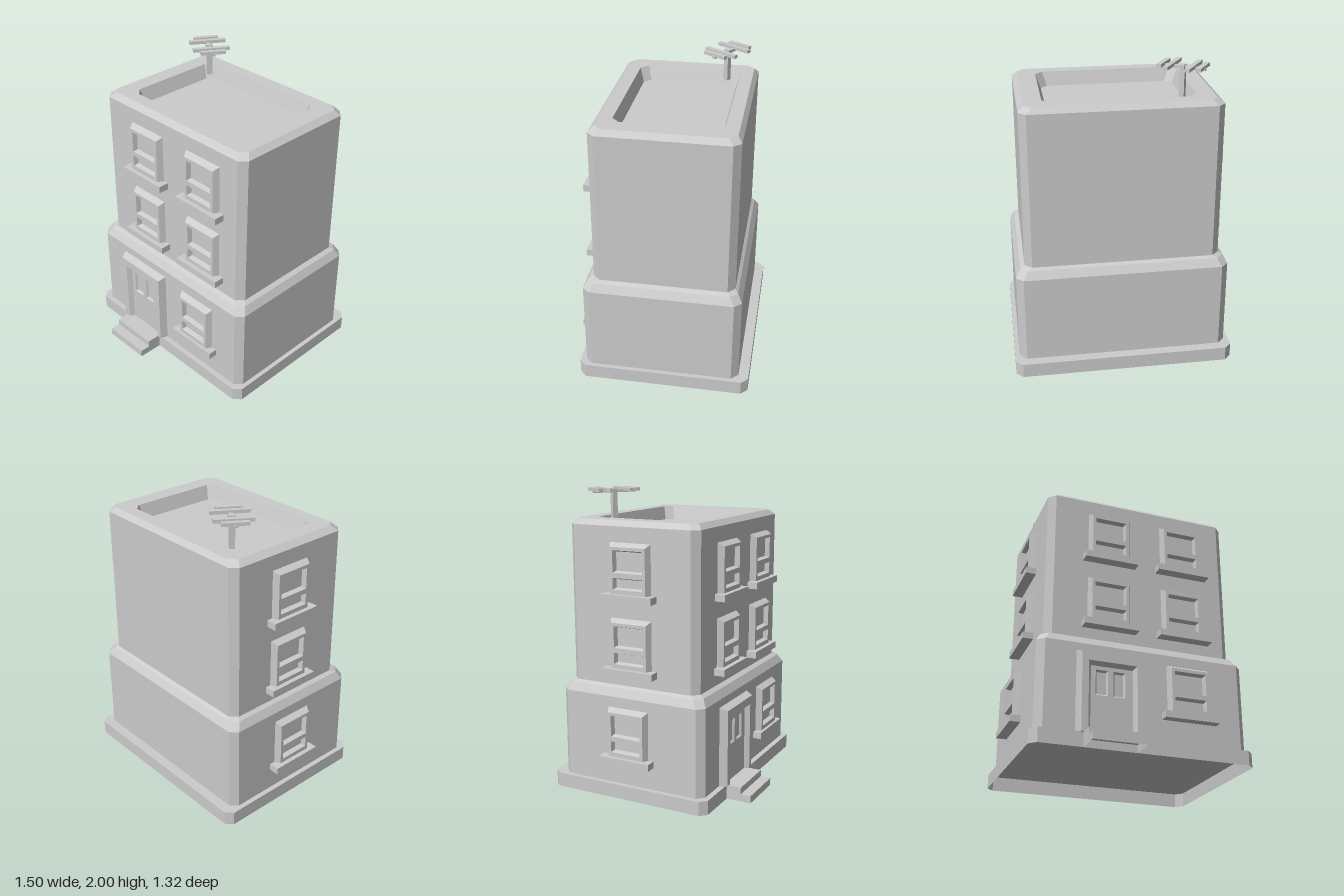
import * as THREE from 'three';

const material = new THREE.MeshStandardMaterial({ color: 0xcccccc, flatShading: true, side: THREE.DoubleSide });

function mesh(name, geometry) {
  const m = new THREE.Mesh(geometry, material);
  m.name = name;
  return m;
}

function box(name, w, h, d, x, y, z) {
  const m = mesh(name, new THREE.BoxGeometry(w, h, d));
  m.position.set(x, y, z);
  return m;
}

// Rectangle at height z with corners cut by c, counter-clockwise
function ring(x0, y0, x1, y1, z, c = 0) {
  const points = c
    ? [[x0 + c, y0], [x1 - c, y0], [x1, y0 + c], [x1, y1 - c], [x1 - c, y1], [x0 + c, y1], [x0, y1 - c], [x0, y0 + c]]
    : [[x0, y0], [x1, y0], [x1, y1], [x0, y1]];
  return points.map(([x, y]) => [x, y, z]);
}

// Floor-plan rectangle, to be laid flat by rotating about x
const plan = (x0, z0, x1, z1, y, c) => ring(x0, -z1, x1, -z0, y, c);

// Skin through successive rings, with an optional cap on the last
function loft(rings, cap = true) {
  const p = [];
  for (let r = 0; r + 1 < rings.length; r++) {
    const a = rings[r], b = rings[r + 1], n = a.length;
    for (let i = 0; i < n; i++) {
      const j = (i + 1) % n;
      p.push(...a[i], ...a[j], ...b[j], ...a[i], ...b[j], ...b[i]);
    }
  }
  const last = rings[rings.length - 1];
  if (cap) for (let i = 1; i + 1 < last.length; i++) p.push(...last[0], ...last[i], ...last[i + 1]);
  const g = new THREE.BufferGeometry();
  g.setAttribute('position', new THREE.Float32BufferAttribute(p, 3));
  g.computeVertexNormals();
  return g;
}

// Flat face at depth z with sunken rectangular panes
function panel(name, rect, z, panes, depth) {
  const group = new THREE.Group();
  group.name = name;
  const outline = (r) => ring(...r, 0).map(([x, y]) => new THREE.Vector2(x, y));
  const shape = new THREE.Shape(outline(rect));
  for (const [x0, y0, x1, y1] of panes) {
    shape.holes.push(new THREE.Path(outline([x0, y0, x1, y1])));
    const s = 0.01;
    group.add(mesh('pane', loft([
      ring(x0, y0, x1, y1, z),
      ring(x0 + s, y0 + s, x1 - s, y1 - s, z - depth),
    ])));
  }
  const face = mesh('face', new THREE.ShapeGeometry(shape));
  face.position.z = z;
  group.add(face);
  return group;
}

// Sash window with sill; the origin is on the wall at the top of the sill
function createWindow(sillDepth) {
  const group = new THREE.Group();
  group.name = 'window';
  group.add(mesh('frame', loft([
    ring(-0.147, 0, 0.147, 0.322, 0),
    ring(-0.127, 0, 0.127, 0.298, 0.04),
  ], false)));
  group.add(panel('sash', [-0.127, 0, 0.127, 0.298], 0.04,
    [[-0.107, 0.135, 0.107, 0.277], [-0.107, 0.028, 0.107, 0.102]], 0.032));
  group.add(box('sill', 0.368, 0.045, sillDepth, 0, -0.0225, sillDepth / 2));
  return group;
}

function createDoor() {
  const group = new THREE.Group();
  group.name = 'door';
  const b = 0.095;
  group.add(mesh('doorFrame', loft([
    ring(-0.433, b, 0, 0.63, 0),
    ring(-0.41, b, -0.02, 0.61, 0.05),
    ring(-0.367, b, -0.05, 0.555, 0.05),
    ring(-0.345, b, -0.07, 0.535, 0.018),
  ], false)));
  group.add(panel('doorLeaf', [-0.345, b, -0.07, 0.535], 0.018,
    [[-0.313, 0.345, -0.232, 0.51], [-0.197, 0.345, -0.12, 0.51]], 0.014));
  return group;
}

// Rooftop antenna: mast, boom and four cross bars
function createAntenna() {
  const group = new THREE.Group();
  group.name = 'antenna';
  group.add(box('mast', 0.034, 0.2, 0.034, 0, 1.88, 0));
  group.add(box('boom', 0.3, 0.018, 0.026, 0, 1.977, 0));
  group.add(box('clamp', 0.03, 0.026, 0.046, 0, 1.98, 0));
  for (const [x, length] of [[-0.13, 0.17], [-0.07, 0.25], [0.07, 0.25], [0.13, 0.17]]) {
    group.add(box('crossBar', 0.032, 0.022, length, x, 1.989, 0));
  }
  group.position.set(-0.385, 0, -0.34);
  group.rotation.y = -0.57;
  return group;
}

// Step that is open underneath
function step(y0, y1, z0, z1) {
  const m = mesh('step', loft([plan(-0.39, z0, -0.05, z1, y0), plan(-0.39, z0, -0.05, z1, y1)]));
  m.rotation.x = -Math.PI / 2;
  return m;
}

export function createModel() {
  const model = new THREE.Group();
  model.name = 'townHouse';

  // Plinth, open underneath
  const plinth = mesh('plinth', loft([
    plan(-0.715, -0.66, 0.745, 0.49, 0, 0.045),
    plan(-0.715, -0.66, 0.745, 0.49, 0.095, 0.045),
  ]));

  // Ground storey with sloped ledge, upper storeys, parapet and sunken roof
  const walls = mesh('walls', loft([
    plan(-0.682, -0.592, 0.715, 0.453, 0.095, 0.047),
    plan(-0.682, -0.592, 0.715, 0.453, 0.683, 0.047),
    plan(-0.652, -0.562, 0.685, 0.423, 0.735, 0.047),
    plan(-0.627, -0.544, 0.657, 0.392, 0.75, 0.047),
    plan(-0.625, -0.542, 0.655, 0.39, 0.75, 0.047),
    plan(-0.625, -0.542, 0.655, 0.39, 1.777, 0.047),
    plan(-0.585, -0.515, 0.62, 0.355, 1.812, 0.047),
    plan(-0.47, -0.427, 0.502, 0.267, 1.812, 0.05),
    plan(-0.435, -0.402, 0.468, 0.24, 1.72, 0.045),
  ]));
  for (const part of [plinth, walls]) {
    part.rotation.x = -Math.PI / 2;
    model.add(part);
  }

  // Front steps and door
  model.add(step(0, 0.05, 0.49, 0.66), step(0.05, 0.095, 0.45, 0.59));
  const door = createDoor();
  door.position.z = 0.453;
  model.add(door);

  // Windows on the front and on the right wall
  for (const y of [0.29, 0.87, 1.355]) {
    const ground = y < 0.5;
    const sillDepth = ground ? 0.06 : 0.072;
    for (const x of ground ? [0.315] : [-0.2, 0.315]) {
      const front = createWindow(sillDepth);
      front.position.set(x, y, ground ? 0.453 : 0.39);
      model.add(front);
    }
    const side = createWindow(0.07);
    side.position.set(ground ? -0.682 : -0.625, y, -0.08);
    side.rotation.y = -Math.PI / 2;
    model.add(side);
  }

  model.add(createAntenna());
  return model;
}
